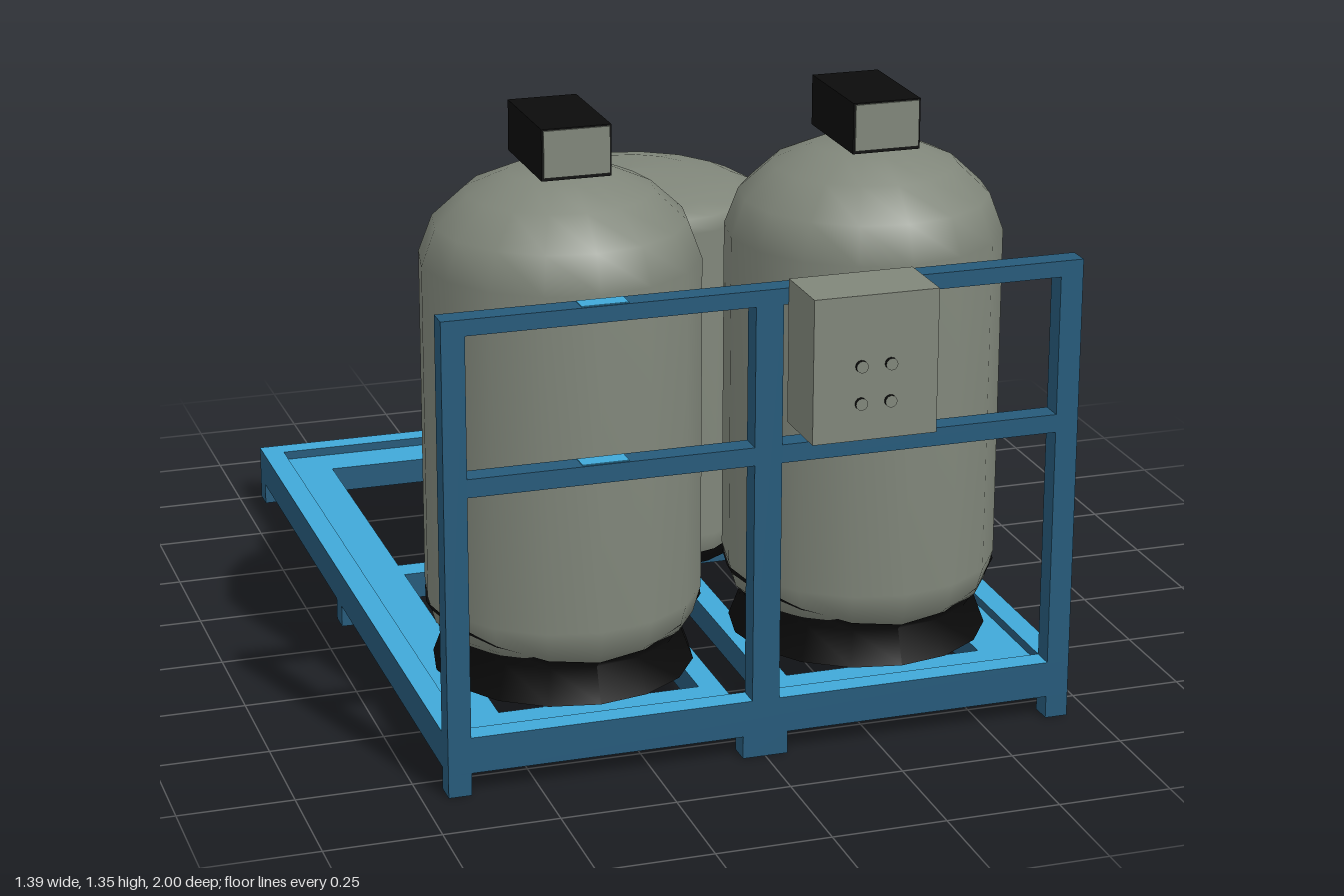
import * as THREE from 'three';

function flat(name, color, side = THREE.FrontSide) {
  const m = new THREE.MeshStandardMaterial({ color, side });
  m.name = name;
  return m;
}

export function createModel() {
  const model = new THREE.Group();
  model.name = 'waterTreatmentSkid';
  const light = flat('lightBlue', 0x40a8d8);
  const dark = flat('darkBlue', 0x265a7a);
  const grey = flat('tankGrey', 0x80867a);
  const black = flat('black', 0x0b0b0b, THREE.DoubleSide);

  // Box from its limits; materials are one, or [+x, -x, +y, -y, +z, -z]
  function box(parent, name, x0, x1, y0, y1, z0, z1, material) {
    const mesh = new THREE.Mesh(new THREE.BoxGeometry(x1 - x0, y1 - y0, z1 - z0), material);
    mesh.position.set((x0 + x1) / 2, (y0 + y1) / 2, (z0 + z1) / 2);
    mesh.name = name;
    parent.add(mesh);
    return mesh;
  }
  const deck = [dark, dark, light, black, dark, dark];
  const beam = [dark, dark, dark, black, dark, dark];

  // Base: outer tubes with a slightly lower inner ledge
  const base = new THREE.Group();
  base.name = 'baseFrame';
  model.add(base);
  const lo = 0.05, hi = 0.13, ledge = 0.11;
  box(base, 'frontTube', -0.695, 0.695, lo, hi, 0.79, 0.84, deck);
  box(base, 'backTube', -0.695, 0.695, lo, hi, -1, -0.95, deck);
  box(base, 'backLedge', -0.645, 0.645, lo, ledge, -0.95, -0.85, deck);
  for (const s of [-1, 1]) {
    const span = (a, b) => (s > 0 ? [a, b] : [-b, -a]);
    box(base, 'sideTube', ...span(0.645, 0.695), lo, hi, -0.95, 0.79, deck);
    box(base, 'sideLedge', ...span(0.545, 0.645), lo, ledge, -0.85, 0.79, deck);
    box(base, 'frontLedge', ...span(0.1, 0.545), lo, ledge, 0.69, 0.79, deck);
    box(base, 'frontRunner', ...span(0.05, 0.1), lo, ledge, -0.12, 0.79, deck);
  }
  box(base, 'crossBar', -0.545, 0.545, lo, ledge, -0.18, -0.12, deck);
  box(base, 'backRunner', -0.03, 0.03, lo, ledge, -0.85, -0.18, deck);

  // Feet around the edge
  for (const [x, z, w] of [
    [-0.67, 0.815, 0.05], [0, 0.815, 0.1], [0.67, 0.815, 0.05],
    [-0.67, -0.145, 0.05], [0.67, -0.145, 0.05],
    [-0.67, -0.975, 0.05], [0, -0.975, 0.05], [0.67, -0.975, 0.05],
  ]) box(base, 'foot', x - w / 2, x + w / 2, 0, lo, z - 0.025, z + 0.025, beam);

  // Upright front rack
  const rack = new THREE.Group();
  rack.name = 'frontRack';
  model.add(rack);
  for (const [x, w] of [[-0.67, 0.05], [0, 0.06], [0.67, 0.05]])
    box(rack, 'post', x - w / 2, x + w / 2, hi, 1.04, 0.79, 0.84, beam);
  for (const [y0, y1] of [[1.005, 1.04], [0.66, 0.7]]) {
    for (const [x0, x1] of [[-0.645, -0.03], [0.03, 0.645]])
      box(rack, 'rail', x0, x1, y0, y1, 0.79, 0.84, beam);
    box(rack, 'railPatch', -0.4, -0.3, y1, y1 + 0.002, 0.795, 0.835, light);
  }

  // Tank body from a profile of [radius, height]
  const lathe = (points) =>
    new THREE.LatheGeometry(points.map(([r, y]) => new THREE.Vector2(r, y)), 16);
  function add(parent, name, geometry, material) {
    const mesh = new THREE.Mesh(geometry, material);
    mesh.name = name;
    parent.add(mesh);
    return mesh;
  }

  // Dark lower band whose top edge rises on the two sides
  function skirt(points, rise) {
    const g = lathe(points);
    const p = g.attributes.position;
    const top = points[points.length - 1];
    for (let i = 0; i < p.count; i++) {
      if (Math.abs(p.getY(i) - top[1]) > 1e-4) continue;
      const k = (p.getX(i) / top[0]) ** 2;
      const grow = 1 + k * (0.304 / top[0] - 1);
      p.setXYZ(i, p.getX(i) * grow, p.getY(i) + rise * k, p.getZ(i) * grow);
    }
    g.computeVertexNormals();
    return g;
  }

  // Tall front tanks with control heads
  for (const s of [-1, 1]) {
    const tank = new THREE.Group();
    tank.name = s > 0 ? 'leftTank' : 'rightTank';
    tank.position.set(s * 0.34, 0, 0.475);
    model.add(tank);
    add(tank, 'tankBody', lathe([
      [0, 0.15], [0.16, 0.165], [0.24, 0.2], [0.283, 0.24], [0.3, 0.3], [0.3, 1.04],
      [0.27, 1.12], [0.2, 1.185], [0.11, 1.225], [0, 1.24],
    ]), grey);
    add(tank, 'tankBase', skirt([[0.284, 0.13], [0.256, 0.205], [0.275, 0.222]], 0.07), black);
    const neck = add(tank, 'neck', new THREE.CylinderGeometry(0.06, 0.06, 0.03, 16), black);
    neck.position.y = 1.23;
    box(tank, 'controlHead', -0.075, 0.075, 1.24, 1.35, -0.125, 0.128, black);
    box(tank, 'headFace', -0.071, 0.071, 1.247, 1.347, 0.128, 0.132, grey);
  }

  // Shorter rear tank
  const rear = new THREE.Group();
  rear.name = 'rearTank';
  rear.position.z = -0.115;
  model.add(rear);
  add(rear, 'tankBody', lathe([
    [0.27, 0.17], [0.29, 0.195], [0.3, 0.24], [0.3, 0.96], [0.287, 0.99],
    [0.24, 1.01], [0.15, 1.028], [0, 1.037],
  ]), grey);
  add(rear, 'tankBase', skirt([[0, 0.13], [0.2, 0.13], [0.275, 0.165], [0.295, 0.195]], 0.045), black);

  // Control box with four buttons
  const panel = new THREE.Group();
  panel.name = 'controlBox';
  model.add(panel);
  box(panel, 'boxBody', 0.04, 0.31, 0.75, 1.06, 0.84, 0.992, [grey, grey, grey, black, grey, grey]);
  for (const x of [0.143, 0.207]) for (const y of [0.83, 0.91]) {
    const button = add(panel, 'button', new THREE.CylinderGeometry(0.013, 0.013, 0.012, 12), [black, grey, grey]);
    button.rotation.x = Math.PI / 2;
    button.position.set(x, y, 0.994);
  }
  return model;
}
